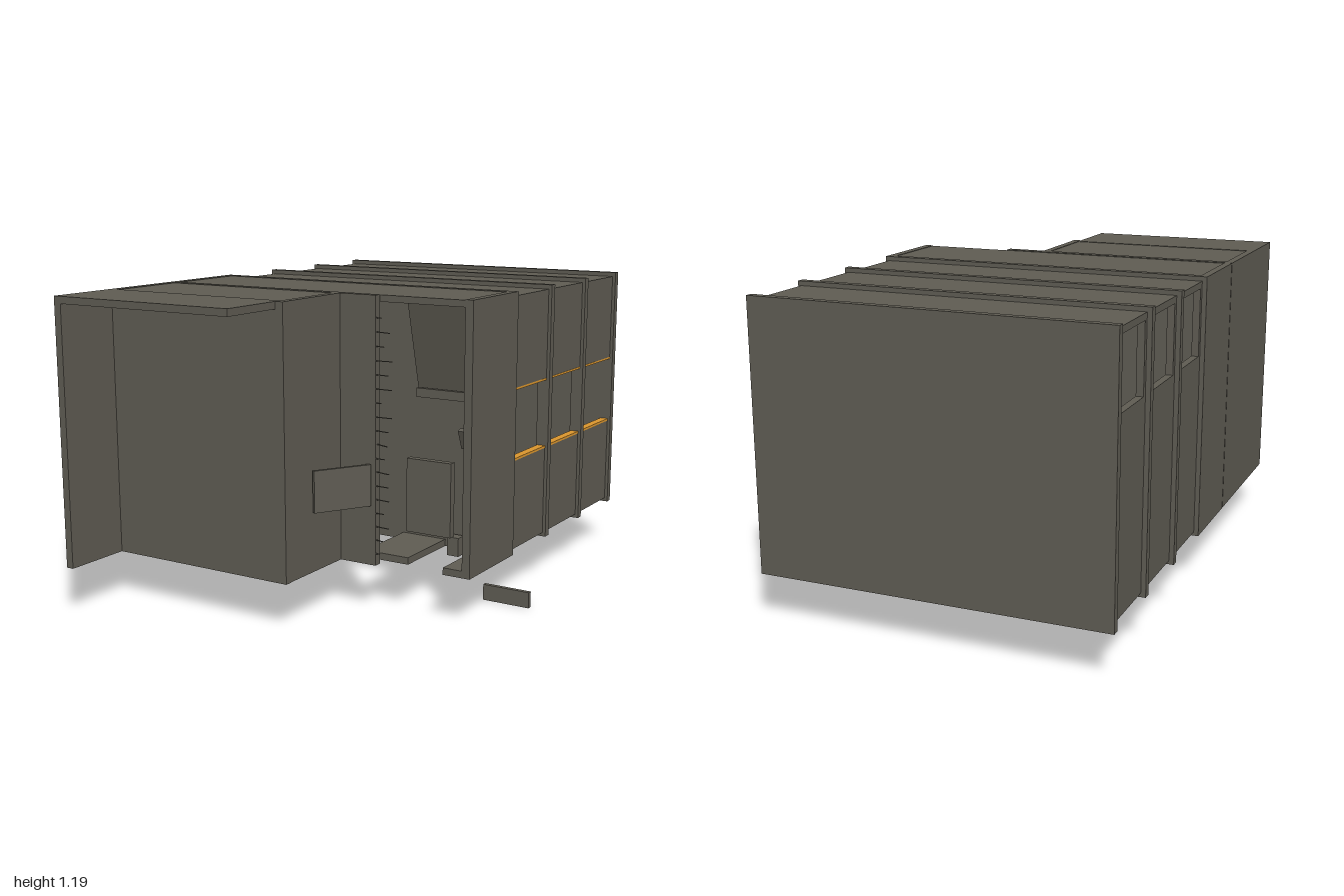
import * as THREE from 'three';

export function createModel() {
  const root = new THREE.Group();
  const hull = new THREE.MeshStandardMaterial({ color: 0x5e5b52 });
  hull.name = 'hull grey';
  const trim = new THREE.MeshStandardMaterial({ color: 0xd9952e });
  trim.name = 'window orange';

  // Box given by its minimum and maximum corners
  const box = (name, x0, x1, y0, y1, z0, z1, mat = hull, parent = root) => {
    const m = new THREE.Mesh(new THREE.BoxGeometry(x1 - x0, y1 - y0, z1 - z0), mat);
    m.position.set((x0 + x1) / 2, (y0 + y1) / 2, (z0 + z1) / 2);
    m.name = name;
    parent.add(m);
    return m;
  };

  const L = -0.72, R = 0.62, B = 0.185, T = 1.197;

  // Solid bulkheads: rear, middle, broken front wall and bay wall
  box('rearBulkhead', L, R, B, T, -1, -0.97);
  box('middleBulkhead', L, R, B, T, -0.02, 0.01);
  box('brokenBulkhead', L, 0.243, B, T, 0.343, 0.375);
  box('bayBulkhead', L, 0.092, B, T, 0.703, 0.735);

  // Open ring frames between the rear bays
  for (const z of [-0.675, -0.345]) {
    const s = new THREE.Shape();
    s.moveTo(L, B).lineTo(R, B).lineTo(R, T).lineTo(L, T).closePath();
    const h = new THREE.Path();
    h.moveTo(L + 0.05, B + 0.04).lineTo(L + 0.05, T - 0.045)
      .lineTo(R - 0.05, T - 0.045).lineTo(R - 0.05, B + 0.04).closePath();
    s.holes.push(h);
    const ring = new THREE.Mesh(
      new THREE.ExtrudeGeometry(s, { depth: 0.03, bevelEnabled: false }), hull);
    ring.position.z = z;
    ring.name = 'ringFrame';
    root.add(ring);
  }

  // Three rear bays, with low windows on the left and high windows on the right
  for (const [z0, z1] of [[-0.97, -0.675], [-0.645, -0.345], [-0.315, -0.02]]) {
    const bay = new THREE.Group();
    bay.name = 'rearBay';
    root.add(bay);
    const part = (name, x0, x1, y0, y1, a = z0, b = z1, m = hull) =>
      box(name, x0, x1, y0, y1, a, b, m, bay);
    part('roofPanel', -0.675, 0.575, 1.15, 1.18);
    part('floorPanel', -0.675, 0.575, 0.2, 0.225);
    // left wall
    part('lowerWall', 0.575, 0.607, 0.2, 0.55);
    part('upperWall', 0.575, 0.607, 0.832, 1.18);
    part('windowPost', 0.577, 0.6, 0.56, 0.824, z1 - 0.014, z1);
    part('windowSill', 0.575, 0.608, 0.55, 0.559, z0, z1, trim);
    part('windowLintel', 0.575, 0.608, 0.824, 0.832, z0, z1, trim);
    // right wall
    part('lowerWall', -0.702, -0.675, 0.2, 0.9);
    part('upperWall', -0.702, -0.675, 1.155, 1.18);
    part('windowPost', -0.702, -0.675, 0.9, 1.155, z0, z0 + 0.02);
    part('windowPost', -0.702, -0.675, 0.9, 1.155, z1 - 0.02, z1);
  }

  // Damaged bay, open at the front
  box('rightWall', L, -0.69, B, T, 0.01, 0.338);
  box('leftWall', 0.588, R, B, T, 0.01, 0.338);
  box('roofPanel', -0.69, 0.588, 1.17, T - 0.002, 0.01, 0.338);
  box('floorPanel', -0.69, -0.25, B, 0.212, 0.01, 0.343);
  box('floorFragment', 0.15, 0.34, B, 0.212, 0.01, 0.3);
  box('floorFragment', 0.51, 0.588, B, 0.212, 0.01, 0.338);

  // Closed narrow bay
  box('rightWall', L, -0.69, B, T, 0.375, 0.703);
  box('leftWall', 0.06, 0.09, B, T, 0.375, 0.703);
  box('roofPanel', -0.69, 0.06, 1.17, T - 0.002, 0.375, 0.703);
  box('floorPanel', -0.69, 0.06, B, 0.212, 0.375, 0.703);

  // Front bay: only a side wall and a roof
  box('rightWall', L, -0.69, B, T, 0.735, 1);
  box('roofPanel', -0.69, 0.06, 1.17, T, 0.735, 1);

  // Loose plates inside the damaged bay
  const plate = box('tiltedPlate', 0.25, 0.582, 0.815, 1.155, 0.1, 0.115);
  plate.rotation.x = 0.25;
  box('shelf', 0.245, 0.47, 0.782, 0.817, 0.01, 0.08);
  box('shelf', 0.476, 0.57, 0.782, 0.817, 0.01, 0.08);
  const console = box('consolePlate', 0.44, 0.584, 0.6, 0.68, 0.07, 0.09);
  console.rotation.x = 0.4;
  box('consoleBase', 0.47, 0.584, 0.6, 0.65, 0.01, 0.06);
  box('standingPlate', 0.245, 0.437, 0.265, 0.555, 0.12, 0.15);
  box('hangingBlock', 0.378, 0.427, 0.168, 0.242, 0.02, 0.065);

  // Torn panel beside the broken wall, and the piece lying on the ground
  const flap = box('tornPanel', -0.007, 0.007, 0.415, 0.573, -0.115, 0.115);
  flap.position.set(0.163, 0.494, 0.477);
  flap.rotation.y = -0.54;
  box('fallenPiece', 0.522, 0.715, 0.003, 0.065, 0.015, 0.033);

  // Splinters along the broken edge and small scraps in the bay
  let seed = 7;
  const rnd = () => (seed = (seed * 16807) % 2147483647) / 2147483647;
  for (let i = 0; i < 18; i++) {
    const len = 0.02 + 0.055 * rnd(), y = 0.23 + i * 0.052;
    const s = box('splinter', 0.24, 0.24 + len, y, y + 0.003, 0.37, 0.374);
    s.rotation.y = (rnd() - 0.7) * 0.5;
  }
  for (let i = 0; i < 26; i++) {
    const x = 0.48 + 0.1 * rnd(), y = (i % 3 ? 0.22 : 0.64) + 0.11 * rnd();
    const z = 0.015 + 0.02 * rnd(), r = 0.003 + 0.004 * rnd();
    box('scrap', x - r, x + r, y - r, y + r, z - r, z + r).rotation.set(rnd(), rnd(), rnd());
  }
  return root;
}
